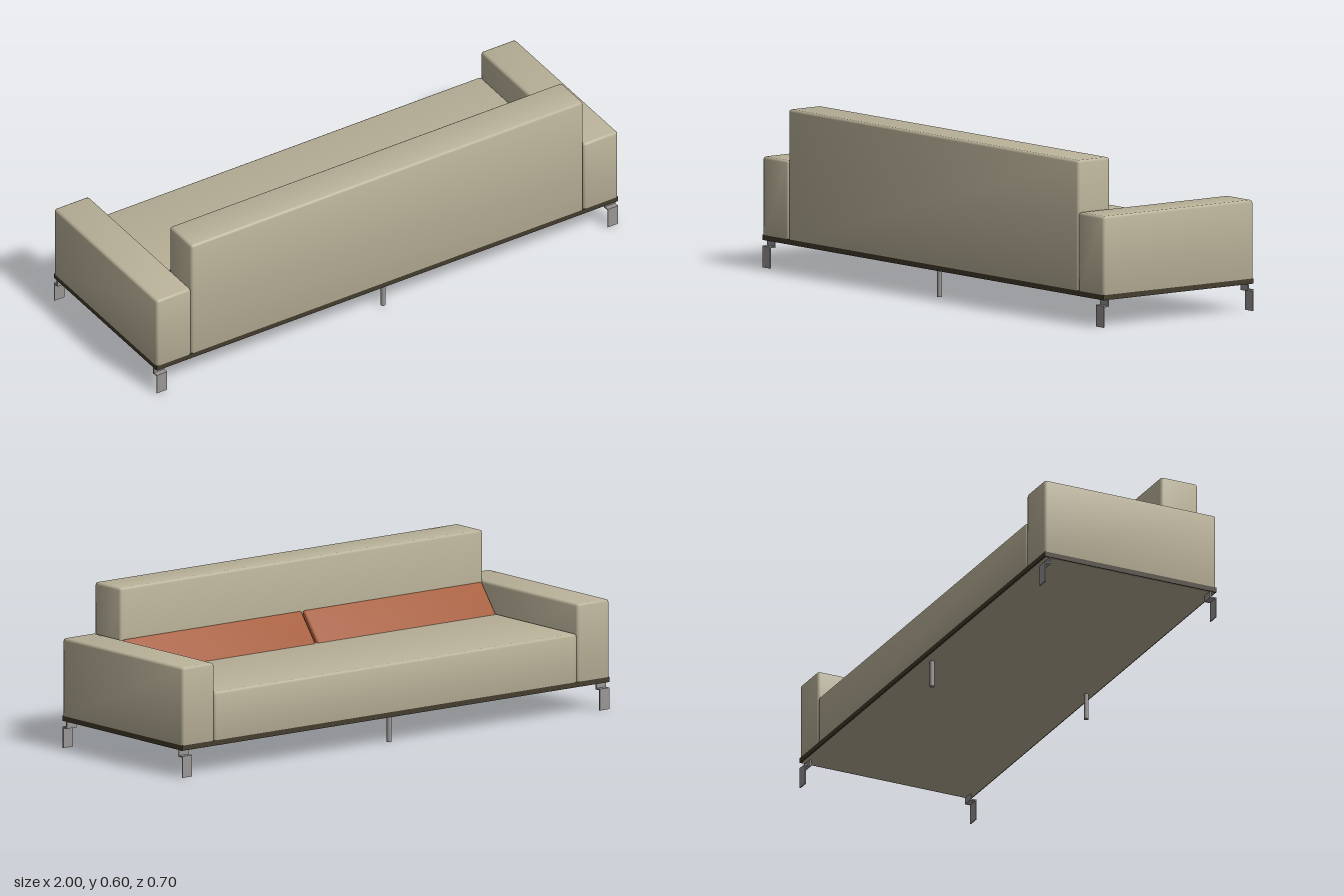
import * as THREE from 'three';
import { RoundedBoxGeometry } from 'three/addons/geometries/RoundedBoxGeometry.js';

function material(name, color) {
  const m = new THREE.MeshStandardMaterial({ color });
  m.name = name;
  return m;
}

// Upholstered block: small bevels, with normals fanned outwards so it looks softly padded
function paddedBox(w, h, d, bevel = 0.01, puff = 0.2) {
  const geo = new RoundedBoxGeometry(w, h, d, 1, bevel);
  const pos = geo.attributes.position, nor = geo.attributes.normal;
  const p = new THREE.Vector3(), n = new THREE.Vector3();
  for (let i = 0; i < pos.count; i++) {
    p.fromBufferAttribute(pos, i);
    n.fromBufferAttribute(nor, i);
    n.x += puff * Math.sign(p.x);
    n.y += puff * Math.sign(p.y);
    n.z += puff * Math.sign(p.z);
    n.normalize();
    nor.setXYZ(i, n.x, n.y, n.z);
  }
  return geo;
}

export function createModel() {
  const group = new THREE.Group();
  const fabric = material('beige fabric', 0xbab299);
  const rust = material('rust fabric', 0xa65c3a);
  const wood = material('dark wood', 0x443c2e);
  const metal = material('grey metal', 0x9a9696);

  function add(name, geo, mat, x, y, z) {
    const mesh = new THREE.Mesh(geo, mat);
    mesh.name = name;
    mesh.position.set(x, y, z);
    group.add(mesh);
    return mesh;
  }

  // Base frame and fabric underside
  add('baseFrame', new THREE.BoxGeometry(2, 0.019, 0.7), wood, 0, 0.1105, 0);
  add('underside', new THREE.BoxGeometry(1.99, 0.002, 0.69), fabric, 0, 0.101, 0);

  // Seat, backrest and arms; their lower bevels sink into the base
  add('seat', paddedBox(1.7, 0.19, 0.56), fabric, 0, 0.205, -0.07);
  add('backrest', paddedBox(1.7, 0.49, 0.15), fabric, 0, 0.355, 0.275);
  for (const side of [-1, 1]) {
    add(side > 0 ? 'leftArm' : 'rightArm', paddedBox(0.15, 0.3, 0.7), fabric, side * 0.925, 0.26, 0);
  }

  // Loose cushions leaning on the backrest
  for (const side of [-1, 1]) {
    const cushion = add('cushion', paddedBox(0.835, 0.16, 0.06, 0.008, 0.08), rust, side * 0.4225, 0.329, 0.17);
    cushion.rotation.x = 0.657;
  }

  // Corner legs: bent metal strips, outline drawn in z and y
  const strip = new THREE.Shape([
    [0.346, 0], [0.35, 0], [0.35, 0.08], [0.33, 0.08], [0.33, 0.1],
    [0.325, 0.1], [0.325, 0.075], [0.346, 0.075],
  ].map(([z, y]) => new THREE.Vector2(z, y)));
  const stripGeo = new THREE.ExtrudeGeometry(strip, { depth: 0.045, bevelEnabled: false });
  stripGeo.rotateY(-Math.PI / 2);
  for (const x of [1, -0.955]) {
    for (const dir of [1, -1]) {
      add('cornerLeg', stripGeo, metal, x, 0, 0).scale.z = dir;
    }
  }

  // Round middle legs
  const postGeo = new THREE.CylinderGeometry(0.009, 0.009, 0.1, 20);
  for (const z of [0.32, -0.31]) add('middleLeg', postGeo, metal, 0, 0.05, z);

  return group;
}
